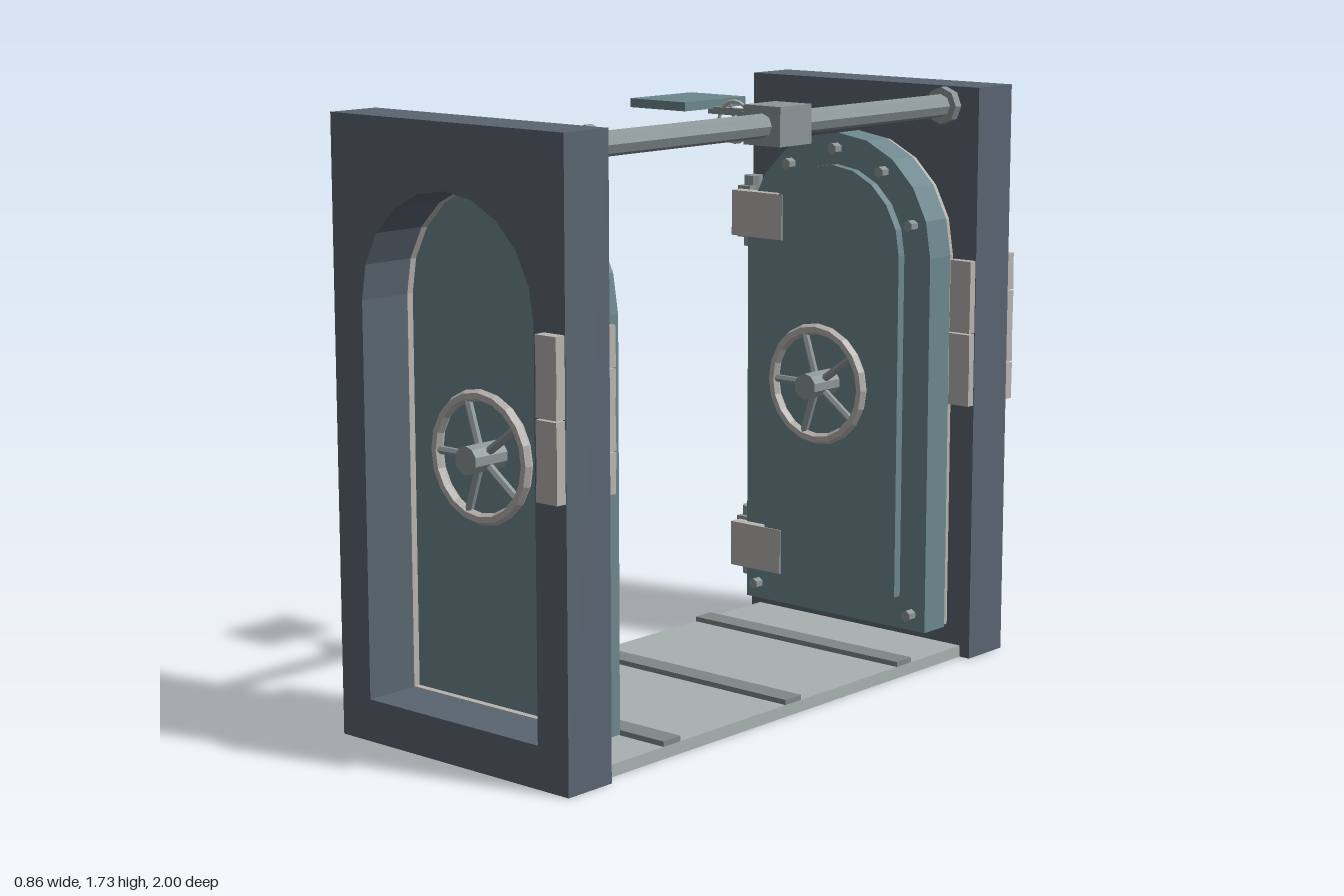
import * as THREE from 'three';

const mat = (color) => new THREE.MeshStandardMaterial({ color, flatShading: true });
const ARCH_Y = 1.23; // height at which the arches spring

export function createModel() {
  const root = new THREE.Group();
  root.name = 'doubleDoorPassage';
  const frameMat = mat(0x5a6570), doorMat = mat(0x6c878d), paleMat = mat(0xb8b4b0);
  const steelMat = mat(0x8c9698), floorMat = mat(0xa9b1b1), ribMat = mat(0x7f8787);

  const add = (parent, name, geo, material, x = 0, y = 0, z = 0) => {
    const m = new THREE.Mesh(geo, material);
    m.name = name;
    m.position.set(x, y, z);
    parent.add(m);
    return m;
  };
  // Box from minimum and maximum on each axis
  const box = (parent, name, material, x0, x1, y0, y1, z0, z1) =>
    add(parent, name, new THREE.BoxGeometry(x1 - x0, y1 - y0, z1 - z0), material,
      (x0 + x1) / 2, (y0 + y1) / 2, (z0 + z1) / 2);
  // Cylinder along z
  const rodZ = (parent, name, material, r, z0, z1, x, y, sides = 8) =>
    add(parent, name, new THREE.CylinderGeometry(r, r, z1 - z0, sides).rotateX(Math.PI / 2),
      material, x, y, (z0 + z1) / 2);

  // Round-topped outline
  const archOn = (path, r, bottom) => {
    path.moveTo(-r, bottom);
    path.lineTo(r, bottom);
    path.lineTo(r, ARCH_Y);
    path.absarc(0, ARCH_Y, r, 0, Math.PI, false);
    path.lineTo(-r, bottom);
    return path;
  };
  const slab = (parent, name, material, shape, z0, z1) =>
    add(parent, name, new THREE.ExtrudeGeometry(shape,
      { depth: z1 - z0, bevelEnabled: false, curveSegments: 5 }), material, 0, 0, z0);

  // Five-spoked handwheel, axis along z
  const handwheel = (parent, name, scale = 1) => {
    const g = new THREE.Group();
    g.name = name;
    add(g, 'rim', new THREE.TorusGeometry(0.169, 0.017, 6, 20), paleMat);
    rodZ(g, 'hub', steelMat, 0.04, -0.06, 0.06, 0, 0, 10);
    for (let i = 0; i < 5; i++) {
      const a = Math.PI + (i * Math.PI * 2) / 5;
      const spoke = add(g, 'spoke', new THREE.CylinderGeometry(0.012, 0.012, 0.14, 6), steelMat,
        Math.cos(a) * 0.095, Math.sin(a) * 0.095, 0);
      spoke.rotation.z = a - Math.PI / 2;
    }
    g.scale.setScalar(scale);
    parent.add(g);
    return g;
  };

  // Two facing end walls with their doors
  for (const s of [1, -1]) {
    const end = new THREE.Group();
    end.name = s > 0 ? 'frontBulkhead' : 'backBulkhead';
    root.add(end);
    const span = (a, b) => (s > 0 ? [a, b] : [-b, -a]); // inner to outer depth

    // Frame with arched opening
    const outline = new THREE.Shape([[-0.43, 0], [0.43, 0], [0.43, 1.73], [-0.43, 1.73]]
      .map(([x, y]) => new THREE.Vector2(x, y)));
    outline.holes.push(archOn(new THREE.Path(), 0.32, 0.12));
    slab(end, 'frame', frameMat, outline, ...span(0.8, 0.965));

    // Seal between door and frame
    const seal = archOn(new THREE.Shape(), 0.345, 0.095);
    seal.holes.push(archOn(new THREE.Path(), 0.318, 0.122));
    slab(end, 'seal', paleMat, seal, ...span(0.775, 0.8));

    // Door leaf with raised inner panel and bolts
    slab(end, 'door', doorMat, archOn(new THREE.Shape(), 0.35, 0.09), ...span(0.68, 0.78));
    slab(end, 'doorPanel', doorMat, archOn(new THREE.Shape(), 0.255, 0.19), ...span(0.652, 0.68));
    const bolts = [[-0.3, 0.14], [0.3, 0.14]];
    for (let i = 0; i < 5; i++) {
      const a = ((18 + 36 * i) * Math.PI) / 180;
      bolts.push([Math.cos(a) * 0.303, ARCH_Y + Math.sin(a) * 0.303]);
    }
    for (const [x, y] of bolts) rodZ(end, 'bolt', steelMat, 0.017, ...span(0.65, 0.685), x, y, 6);

    // Handwheels on both faces of the door
    handwheel(end, 'innerHandwheel').position.set(0, 0.825, s * 0.59);
    handwheel(end, 'outerHandwheel').position.set(0, 0.825, s * 0.84);

    // Hinges: strap, pin and frame mount
    for (const y of [0.26, 1.31]) {
      box(end, 'hingeStrap', paleMat, -0.39, -0.19, y - 0.07, y + 0.07, ...span(0.648, 0.69));
      box(end, 'hingeMount', steelMat, -0.4, -0.352, y - 0.08, y + 0.08, ...span(0.69, 0.8));
      add(end, 'hingePin', new THREE.CylinderGeometry(0.03, 0.03, 0.22, 10), steelMat,
        -0.375, y, s * 0.735);
    }

    // Segmented grip running through the frame edge
    for (let i = 0; i < 4; i++) {
      const grip = box(end, 'gripSegment', paleMat, 0.355, 0.428,
        0.78 + i * 0.11, 0.89 + i * 0.11, ...span(0.775, 0.997));
      grip.rotation.x = (i % 2 ? 1 : -1) * 0.02;
    }
  }

  // Small box on the outside of the back frame
  box(root, 'switchBox', paleMat, -0.41, -0.34, 1.3, 1.385, -0.995, -0.965);

  // Floor and cross ribs
  box(root, 'floor', floorMat, -0.395, 0.395, 0, 0.035, -0.8, 0.8);
  for (const z of [-0.52, 0, 0.52])
    box(root, 'floorRib', ribMat, -0.395, 0.395, 0.035, 0.05, z - 0.035, z + 0.035);

  // Overhead rail with end flanges
  rodZ(root, 'rail', steelMat, 0.034, -0.77, 0.77, 0.327, 1.675);
  for (const s of [1, -1])
    rodZ(root, 'railFlange', steelMat, 0.055, s * 0.765 - 0.014, s * 0.765 + 0.014, 0.327, 1.675);

  // Carriage carrying the small plate
  box(root, 'carriage', steelMat, 0.26, 0.39, 1.62, 1.73, -0.068, 0.068);
  box(root, 'carriageSocket', steelMat, 0.22, 0.26, 1.645, 1.705, -0.033, 0.033);
  box(root, 'arm', steelMat, 0.08, 0.225, 1.69, 1.71, -0.01, 0.01);
  handwheel(root, 'armWheel', 0.335).position.set(0.17, 1.672, 0);
  box(root, 'plate', doorMat, -0.105, 0.1, 1.705, 1.73, -0.13, 0.13);

  return root;
}
